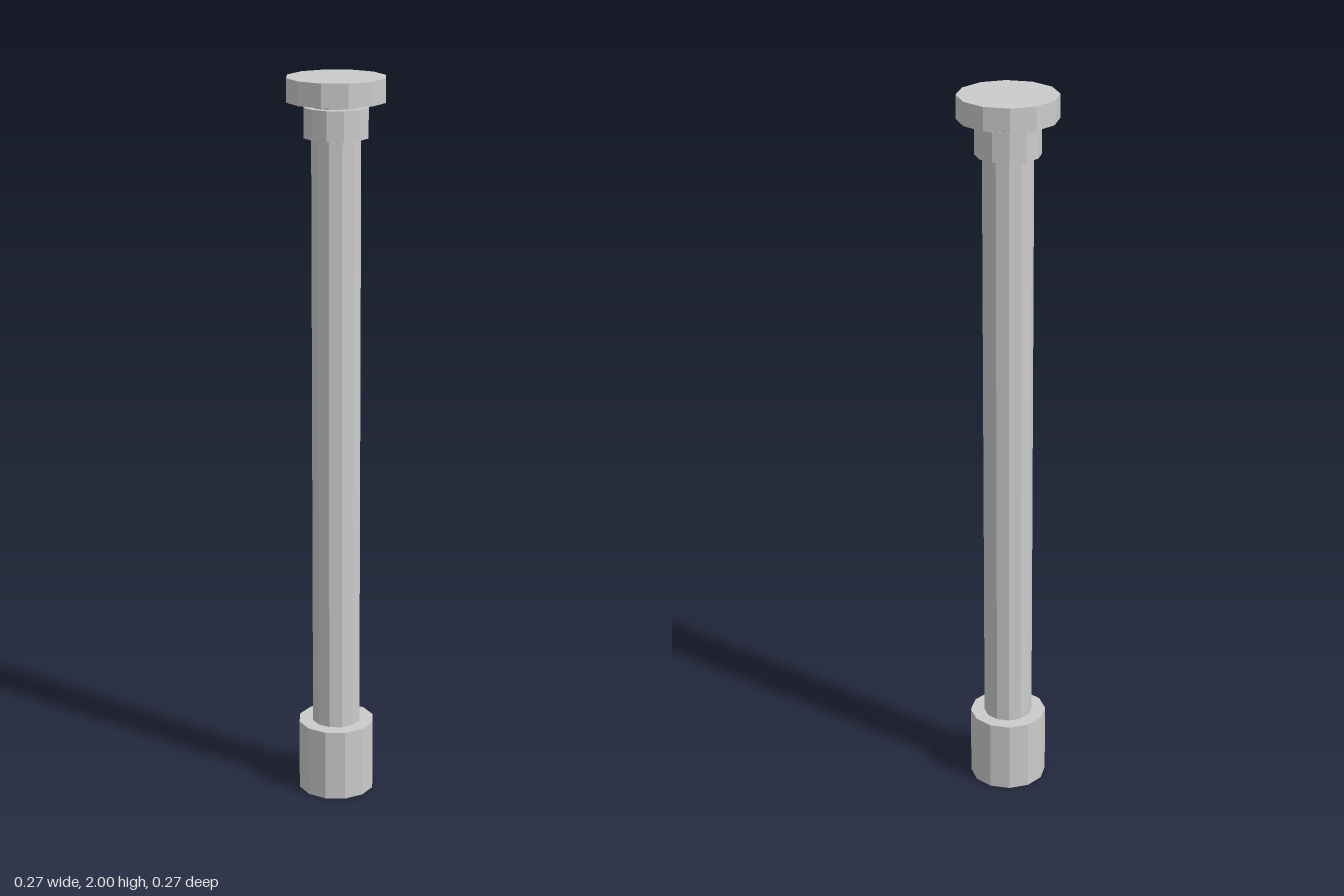
import * as THREE from 'three';

const SIDES = 12;

export function createModel() {
  const model = new THREE.Group();
  model.name = 'post';
  const material = new THREE.MeshStandardMaterial({ color: 0xcccccc, flatShading: true });

  // Upright twelve-sided cylinder between two heights
  function addCylinder(name, radius, bottom, top) {
    const geometry = new THREE.CylinderGeometry(radius, radius, top - bottom, SIDES);
    const mesh = new THREE.Mesh(geometry, material);
    mesh.name = name;
    mesh.position.y = (bottom + top) / 2;
    model.add(mesh);
  }

  addCylinder('foot', 0.106, 0, 0.2);
  addCylinder('shaft', 0.067, 0.2, 1.937);
  addCylinder('collar', 0.087, 1.843, 1.923);
  addCylinder('cap', 0.133, 1.937, 2);

  return model;
}
